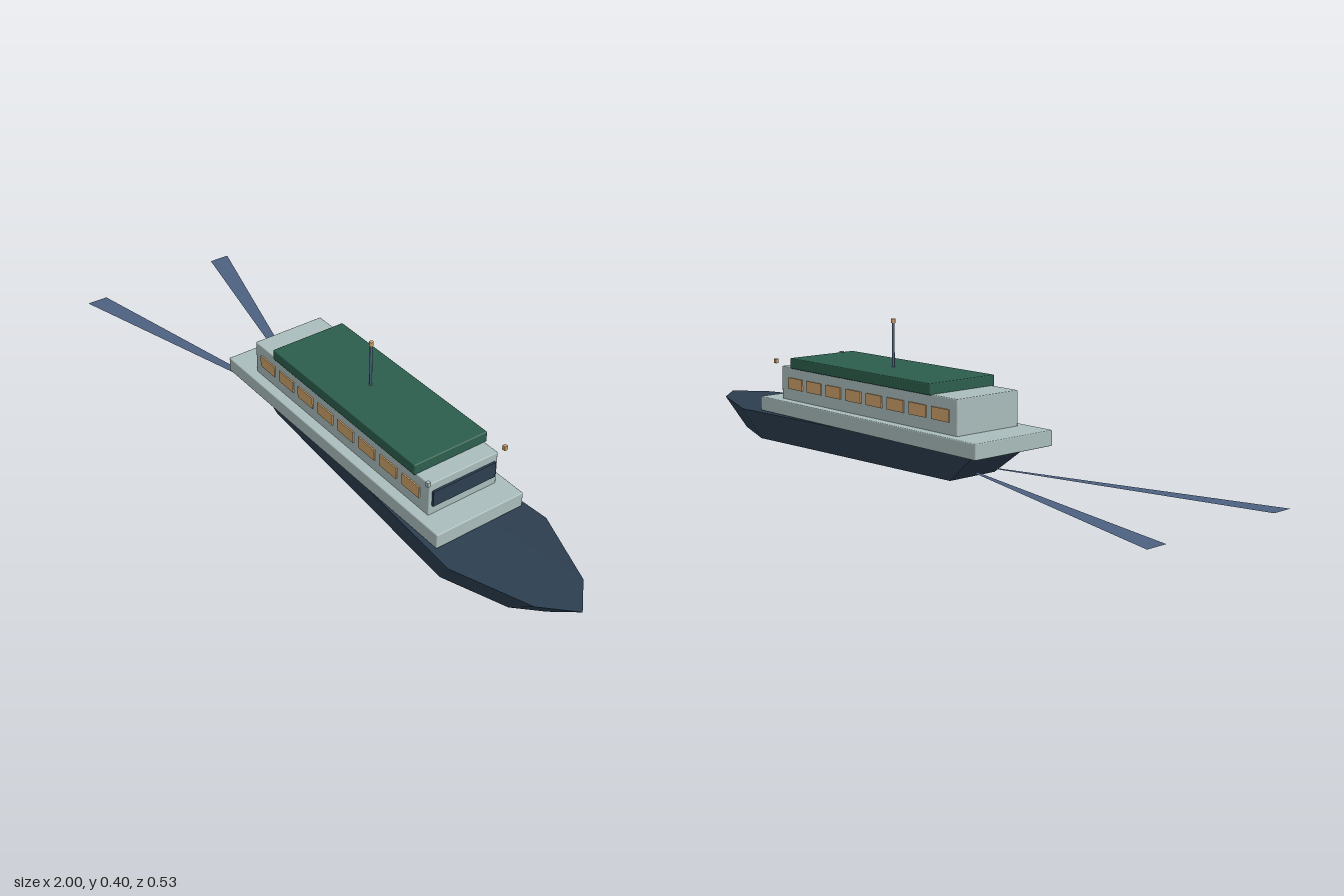
import * as THREE from 'three';
import { RoundedBoxGeometry } from 'three/addons/geometries/RoundedBoxGeometry.js';

const mat = (name, color, side = THREE.FrontSide) => {
  const m = new THREE.MeshStandardMaterial({ color, side });
  m.name = name;
  return m;
};

// Tapered hull: the deck outline is shrunk about its middle to make the keel outline.
function hullGeometry() {
  const half = [[-0.28, 0.1], [0.4, 0.142], [0.7, 0.162], [0.92, 0.08]];
  const outline = [...half, [1, 0], ...half.map(([x, z]) => [x, -z]).reverse()];
  const top = outline.map(([x, z]) => new THREE.Vector3(x, 0.088, z));
  const bottom = outline.map(([x, z]) => new THREE.Vector3(0.357 + (x - 0.357) * 0.825, 0, z * 0.83));
  const pos = [];
  const tri = (...pts) => pts.forEach((p) => pos.push(p.x, p.y, p.z));
  const n = outline.length;
  for (let i = 0; i < n; i++) {
    const j = (i + 1) % n;
    tri(bottom[i], bottom[j], top[j]);
    tri(bottom[i], top[j], top[i]);
    if (i > 0 && j > 0) {
      tri(top[0], top[i], top[j]);
      tri(bottom[0], bottom[j], bottom[i]);
    }
  }
  const g = new THREE.BufferGeometry();
  g.setAttribute('position', new THREE.Float32BufferAttribute(pos, 3));
  g.computeVertexNormals();
  return g;
}

// Flat wake streak widening towards the back.
function wakeGeometry(s) {
  const shape = new THREE.Shape([
    new THREE.Vector2(-0.22, 0.031 * s), new THREE.Vector2(-1, 0.2 * s),
    new THREE.Vector2(-1, 0.265 * s), new THREE.Vector2(-0.22, 0.043 * s),
  ]);
  return new THREE.ShapeGeometry(shape).rotateX(-Math.PI / 2);
}

export function createModel() {
  const boat = new THREE.Group();
  boat.name = 'ferryBoat';
  const navy = mat('navy', 0x2c3e50);
  const pale = mat('paleGreyGreen', 0xa9bcbb);
  const green = mat('roofGreen', 0x2c5e4c);
  const amber = mat('amber', 0xcda06a);
  const slate = mat('slateBlue', 0x4d6180);
  const wakeMat = mat('wakeBlue', 0x4d6180, THREE.DoubleSide);

  const add = (name, geo, material, x = 0, y = 0, z = 0) => {
    const m = new THREE.Mesh(geo, material);
    m.name = name;
    m.position.set(x, y, z);
    boat.add(m);
    return m;
  };
  // Box given by its limits in x and y and its half width in z
  const block = (name, x0, x1, y0, y1, hz, material) =>
    add(name, new RoundedBoxGeometry(x1 - x0, y1 - y0, hz * 2, 1, 0.003), material, (x0 + x1) / 2, (y0 + y1) / 2, 0);

  add('hull', hullGeometry(), navy);
  block('lowerDeck', -0.33, 0.63, 0.09, 0.134, 0.142, pale);
  block('cabin', -0.228, 0.557, 0.13, 0.233, 0.112, pale);
  block('roof', -0.128, 0.505, 0.231, 0.263, 0.119, green);

  // Windows
  add('frontWindow', new THREE.BoxGeometry(0.009, 0.047, 0.204), navy, 0.559, 0.185, 0);
  const pane = new THREE.BoxGeometry(0.07, 0.034, 0.006);
  for (const s of [1, -1]) {
    for (let i = 0; i < 8; i++) add('sideWindow', pane, amber, -0.164 + i * 0.093, 0.185, s * 0.113);
  }

  // Mast with its lamp
  add('mast', new THREE.CylinderGeometry(0.004, 0.004, 0.132, 8), slate, 0.165, 0.328, 0);
  add('mastLamp', new THREE.CylinderGeometry(0.006, 0.006, 0.012, 10), amber, 0.165, 0.396, 0);

  // Side lights
  const light = new THREE.BoxGeometry(0.01, 0.013, 0.01);
  add('leftLight', light, pale, 0.567, 0.248, 0.125);
  add('rightLight', light, amber, 0.567, 0.248, -0.125);

  for (const s of [1, -1]) add('wake', wakeGeometry(s), wakeMat, 0, 0.025, 0);
  return boat;
}
